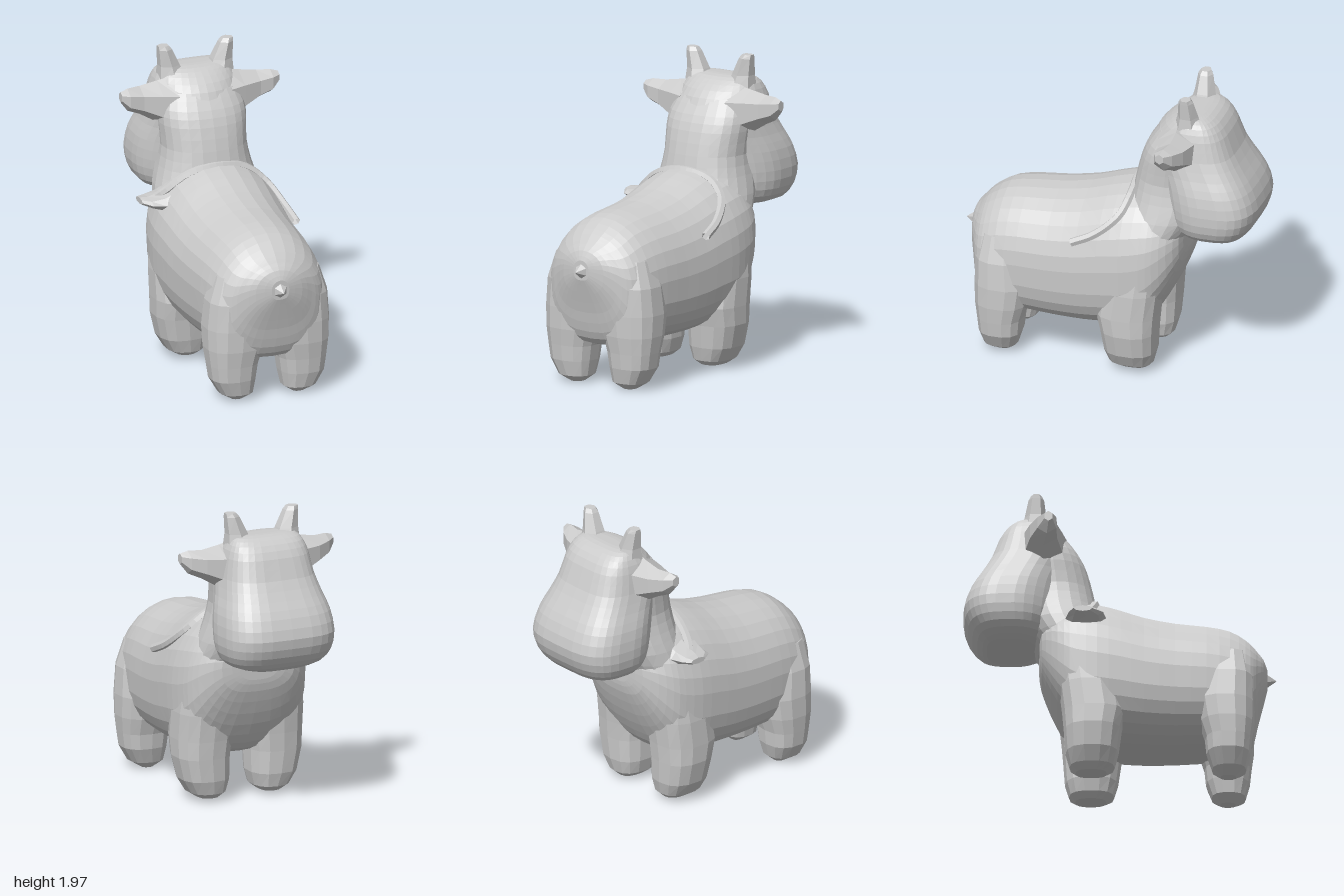
import * as THREE from 'three';

const material = new THREE.MeshStandardMaterial({ color: 0xcccccc, flatShading: true, side: THREE.DoubleSide });

// Ring planes: the two cross-section axes that go with each loft axis
const PLANES = { x: ['y', 'z'], y: ['z', 'x'], z: ['x', 'y'] };

// Closed loft along an axis. Section: [position, centreU, centreV, radiusU, radiusV], ascending.
// power(cos, sin) squares off (<1) or pinches (>1) the ring.
function loft(axis, sections, sides, steps, power = () => 1) {
  const [u, v] = PLANES[axis];
  const rows = [];
  sections.forEach((s, i) => {
    if (i === sections.length - 1) return rows.push(s);
    const p = sections[Math.max(i - 1, 0)], n = sections[i + 1];
    const q = sections[Math.min(i + 2, sections.length - 1)];
    for (let k = 0; k < steps; k++) {
      const t = k / steps;
      rows.push(s.map((_, j) => 0.5 * (2 * s[j] + (n[j] - p[j]) * t
        + (2 * p[j] - 5 * s[j] + 4 * n[j] - q[j]) * t * t
        + (3 * s[j] - p[j] - 3 * n[j] + q[j]) * t ** 3)));
    }
  });
  const positions = [], index = [], point = new THREE.Vector3();
  const put = (a, b, c) => {
    point[axis] = a; point[u] = b; point[v] = c;
    positions.push(point.x, point.y, point.z);
  };
  for (const [a, cu, cv, ru, rv] of rows) {
    for (let k = 0; k < sides; k++) {
      const angle = (k / sides) * Math.PI * 2, c = Math.cos(angle), s = Math.sin(angle);
      const e = power(c, s);
      put(a, cu + ru * Math.sign(c) * Math.abs(c) ** e, cv + rv * Math.sign(s) * Math.abs(s) ** e);
    }
  }
  const last = rows.length - 1, first = rows.length * sides;
  put(...rows[0].slice(0, 3));
  put(...rows[last].slice(0, 3));
  for (let k = 0; k < sides; k++) {
    const m = (k + 1) % sides;
    for (let r = 0; r < last; r++) {
      const a = r * sides + k, b = r * sides + m, c = a + sides, d = b + sides;
      index.push(a, b, d, a, d, c);
    }
    index.push(first, m, k, first + 1, last * sides + k, last * sides + m);
  }
  const geometry = new THREE.BufferGeometry();
  geometry.setAttribute('position', new THREE.Float32BufferAttribute(positions, 3));
  geometry.setIndex(index);
  geometry.computeVertexNormals();
  return geometry;
}

// Upright section from its front, back and half width
const upright = ([y, front, back, w]) => [y, (front + back) / 2, 0, (back - front) / 2, w];

export function createModel() {
  const group = new THREE.Group();
  const add = (name, geometry) => {
    const mesh = new THREE.Mesh(geometry, material);
    mesh.name = name;
    group.add(mesh);
  };

  // Body, from chest to rump: [z, bottom, top, half width]
  const body = [
    [-0.515, 0.84, 1.04, 0.14], [-0.5, 0.76, 1.12, 0.26], [-0.44, 0.6, 1.2, 0.35],
    [-0.36, 0.44, 1.25, 0.405], [-0.28, 0.33, 1.28, 0.43], [-0.15, 0.28, 1.27, 0.445],
    [0, 0.27, 1.23, 0.44], [0.15, 0.26, 1.18, 0.43], [0.35, 0.26, 1.14, 0.415],
    [0.55, 0.27, 1.12, 0.4], [0.7, 0.27, 1.09, 0.38], [0.8, 0.29, 1.03, 0.35],
    [0.85, 0.37, 0.985, 0.3], [0.88, 0.5, 0.95, 0.24], [0.915, 0.63, 0.91, 0.16],
    [0.94, 0.72, 0.85, 0.06],
  ].map(([z, low, high, w]) => [z, 0, (low + high) / 2, w, (high - low) / 2]);
  add('body', loft('z', body, 28, 2, (c, s) => (s < 0 ? 0.72 : 0.97)));

  // Neck, rising from the shoulders: [y, front z, back z, half width]
  const neck = [
    [0.95, -0.52, -0.08, 0.37], [1.1, -0.62, -0.115, 0.34], [1.22, -0.65, -0.14, 0.305],
    [1.35, -0.65, -0.165, 0.28], [1.5, -0.65, -0.205, 0.29], [1.6, -0.65, -0.25, 0.285],
    [1.7, -0.65, -0.32, 0.25],
  ].map(upright);
  add('neck', loft('y', neck, 24, 2, () => 0.85));

  // Head with a broad square muzzle at -z
  const head = [
    [0.985, -0.85, -0.52, 0.2], [1.02, -0.91, -0.43, 0.31], [1.1, -0.97, -0.38, 0.365],
    [1.22, -1.0, -0.35, 0.38], [1.35, -0.96, -0.33, 0.365], [1.45, -0.9, -0.3, 0.335],
    [1.57, -0.83, -0.26, 0.305], [1.7, -0.78, -0.31, 0.28], [1.78, -0.725, -0.39, 0.25],
    [1.82, -0.66, -0.46, 0.21], [1.83, -0.6, -0.53, 0.14],
  ].map(upright);
  add('head', loft('y', head, 32, 2, (c) => (c < 0 ? 0.6 : 1)));

  // Legs, rounded at the foot and widening into the flank: [y, x, z, x radius, z radius]
  const legs = {
    FrontLeg: [
      [0.025, 0.22, -0.185, 0.07, 0.1], [0.06, 0.225, -0.18, 0.12, 0.145],
      [0.15, 0.24, -0.18, 0.16, 0.17], [0.3, 0.255, -0.175, 0.18, 0.185],
      [0.42, 0.25, -0.165, 0.19, 0.205], [0.6, 0.24, -0.19, 0.2, 0.2],
      [0.8, 0.23, -0.22, 0.19, 0.18], [0.95, 0.2, -0.23, 0.12, 0.12],
    ],
    HindLeg: [
      [0.005, 0.21, 0.69, 0.04, 0.05], [0.05, 0.215, 0.695, 0.11, 0.11],
      [0.15, 0.235, 0.69, 0.15, 0.14], [0.25, 0.235, 0.69, 0.165, 0.15],
      [0.36, 0.225, 0.68, 0.19, 0.175], [0.5, 0.215, 0.67, 0.205, 0.19],
      [0.68, 0.21, 0.68, 0.195, 0.175], [0.85, 0.19, 0.68, 0.16, 0.14],
    ],
  };

  for (const side of [1, -1]) {
    const label = side > 0 ? 'left' : 'right';

    for (const [name, sections] of Object.entries(legs)) {
      const rows = sections.map(([y, x, z, rx, rz]) => [y, z, side * x, rz, rx]);
      add(label + name, loft('y', rows, 14, 1, () => 0.78));
    }

    // Ears, flaring from the side of the head to a blunt tip
    const ear = [
      [0.18, 1.59, -0.48, 0.19, 0.16], [0.28, 1.62, -0.49, 0.14, 0.14],
      [0.4, 1.645, -0.49, 0.095, 0.1], [0.49, 1.665, -0.47, 0.075, 0.07],
      [0.54, 1.69, -0.46, 0.035, 0.03],
    ].map(([x, ...rest]) => [side * x, ...rest]);
    if (side < 0) ear.reverse();
    add(label + 'Ear', loft('x', ear, 6, 1));

    // Short blunt horns
    const horn = [
      [1.74, -0.54, 0.165, 0.1, 0.1], [1.84, -0.54, 0.18, 0.07, 0.075],
      [1.95, -0.535, 0.21, 0.05, 0.05], [1.975, -0.535, 0.22, 0.035, 0.04],
    ].map(([y, z, x, rz, rx]) => [y, z, side * x, rz, rx]);
    add(label + 'Horn', loft('y', horn, 6, 1));
  }

  // Small pointed tail
  add('tail', new THREE.ConeGeometry(0.1, 0.13, 6).rotateX(Math.PI / 2).translate(0, 0.78, 0.935));

  // Uneven collar fold over the shoulders
  const fold = new THREE.CatmullRomCurve3([
    [-0.42, 1.05, -0.24], [-0.34, 1.12, -0.19], [-0.2, 1.22, -0.16], [0, 1.26, -0.15],
    [0.2, 1.22, -0.16], [0.32, 1.12, -0.12], [0.39, 1.0, 0.02], [0.415, 0.93, 0.17],
  ].map((p) => new THREE.Vector3(...p)));
  add('collarFold', new THREE.TubeGeometry(fold, 28, 0.028, 6));

  // Flap of the collar standing out from the right shoulder
  add('collarFlap', loft('x', [
    [-0.5, 1.06, -0.24, 0.02, 0.06], [-0.45, 1.055, -0.22, 0.03, 0.11],
    [-0.36, 1.05, -0.22, 0.06, 0.13], [-0.24, 1.09, -0.22, 0.09, 0.14],
  ], 8, 1));

  return group;
}
